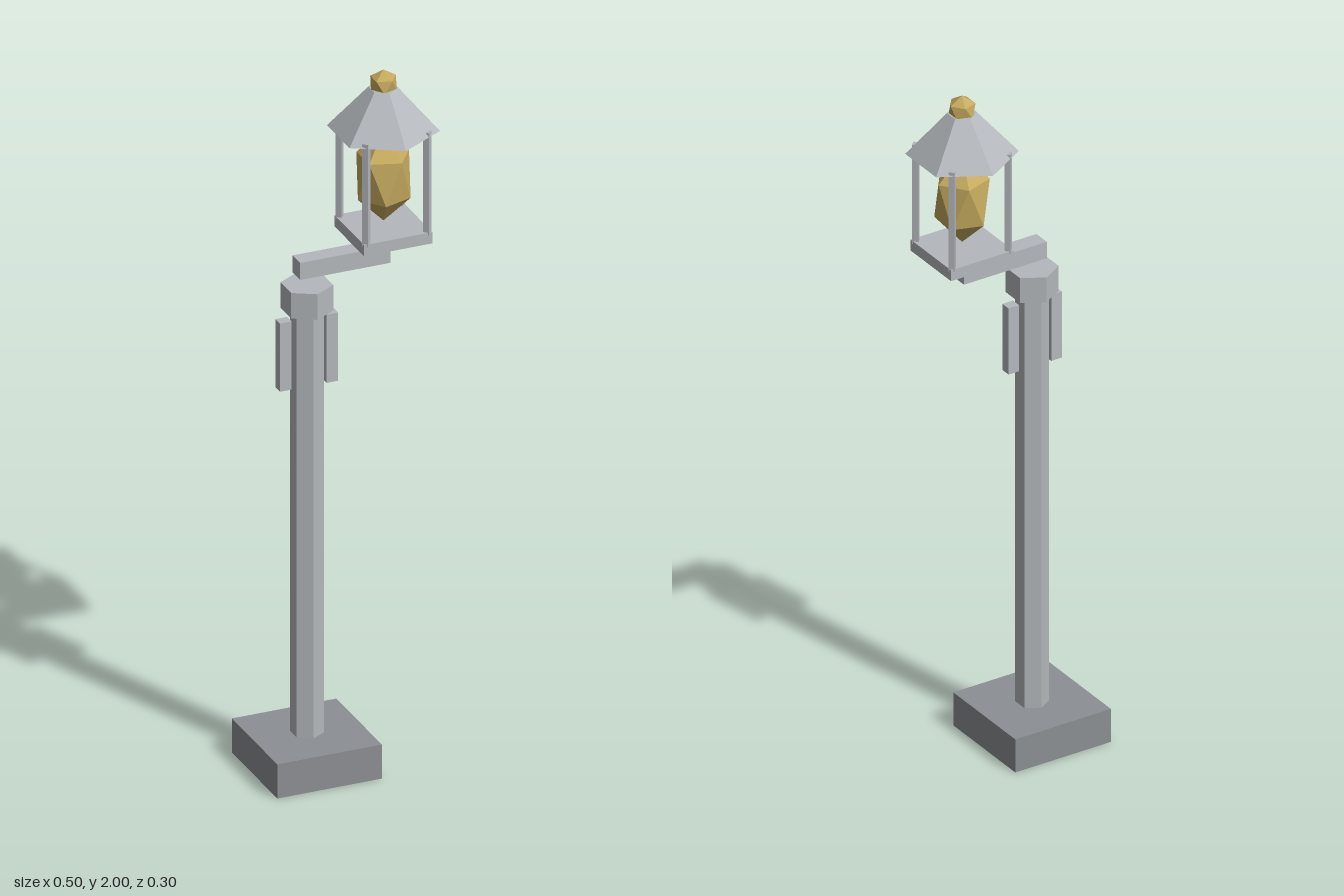
import * as THREE from 'three';
import { ConvexGeometry } from 'three/addons/geometries/ConvexGeometry.js';

const POST_X = -0.1, LAMP_X = 0.12;

export function createModel() {
  const model = new THREE.Group();
  model.name = 'lampPost';

  const material = (name, color) => {
    const m = new THREE.MeshStandardMaterial({ color, flatShading: true });
    m.name = name;
    return m;
  };
  const stone = material('darkStone', 0x8c8f93);
  const metal = material('greyMetal', 0xb4b8bc);
  const gold = material('gold', 0xc5aa5e);

  const add = (name, geometry, mat, x, y, z = 0) => {
    const mesh = new THREE.Mesh(geometry, mat);
    mesh.name = name;
    mesh.position.set(x, y, z);
    model.add(mesh);
    return mesh;
  };
  const box = (w, h, d) => new THREE.BoxGeometry(w, h, d);
  const prism = (rTop, rBottom, h, sides) => new THREE.CylinderGeometry(rTop, rBottom, h, sides);

  // Twenty-sided gem standing on a point: two poles and two staggered rings
  const gem = (r, halfHeight) => {
    const points = [new THREE.Vector3(0, halfHeight, 0), new THREE.Vector3(0, -halfHeight, 0)];
    for (let i = 0; i < 5; i++) {
      const a = (i * Math.PI * 2) / 5;
      const x = Math.cos(a) * 0.8944 * r, z = Math.sin(a) * 0.8944 * r;
      points.push(new THREE.Vector3(x, 0.4472 * halfHeight, z));
      points.push(new THREE.Vector3(-x, -0.4472 * halfHeight, -z));
    }
    return new ConvexGeometry(points);
  };

  // Base, post and collar
  add('base', box(0.3, 0.1, 0.3), stone, POST_X, 0.05);
  add('post', prism(0.045, 0.045, 1.25, 6), metal, POST_X, 0.715);
  add('collar', prism(0.07, 0.07, 0.075, 6), metal, POST_X, 1.377);

  // Side bars beside the top of the post
  for (const s of [-1, 1]) {
    add('sideBar', box(0.033, 0.2, 0.03), metal, POST_X + s * 0.067, 1.22);
  }

  // Arm
  add('arm', box(0.26, 0.05, 0.05), metal, 0, 1.467);

  // Lantern: floor, four thin corner rods, roof
  add('lanternFloor', box(0.196, 0.033, 0.196), metal, LAMP_X, 1.531);
  for (const sx of [-1, 1]) {
    for (const sz of [-1, 1]) {
      add('cornerRod', prism(0.012, 0.012, 0.3, 4), metal, LAMP_X + sx * 0.088, 1.69, sz * 0.088);
    }
  }
  add('roof', prism(0.04, 0.15, 0.12, 6), metal, LAMP_X, 1.888);

  // Glowing crystal and finial
  add('crystal', gem(0.082, 0.134), gold, LAMP_X, 1.691);
  add('finial', gem(0.04, 0.04), gold, LAMP_X, 1.96);

  return model;
}
